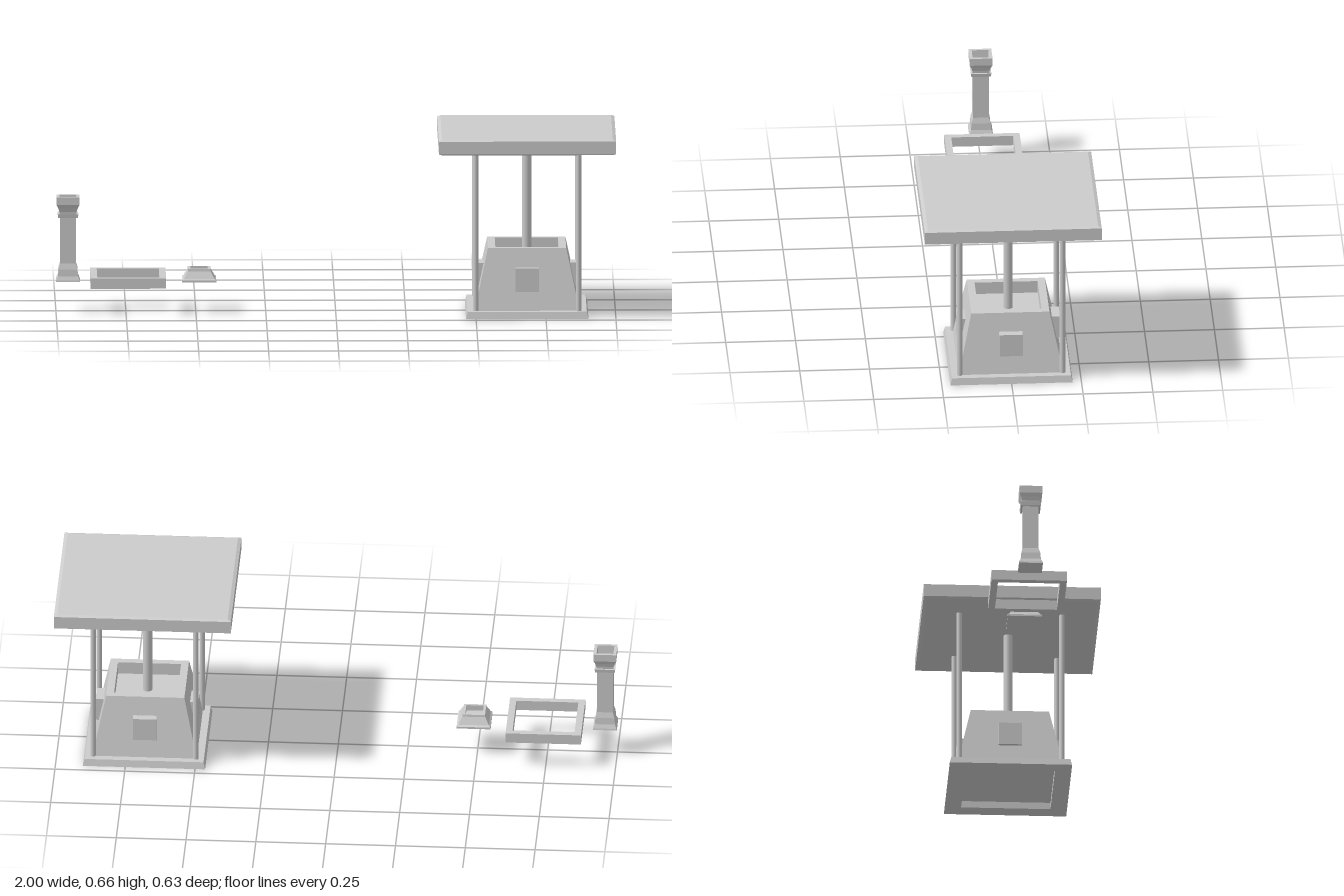
import * as THREE from 'three';

const material = new THREE.MeshStandardMaterial({ color: 0xcccccc, flatShading: true });
const smooth = new THREE.MeshStandardMaterial({ color: 0xcccccc });

function add(parent, name, geometry, mat = material) {
  const mesh = new THREE.Mesh(geometry, mat);
  mesh.name = name;
  parent.add(mesh);
  return mesh;
}

// Square solid swept from a profile of [half width, height] points
function squareTurned(profile) {
  const points = profile.map(([h, y]) => new THREE.Vector2(h * Math.SQRT2, y));
  return new THREE.LatheGeometry(points, 4).rotateY(Math.PI / 4);
}

function post(parent, name, radius, x, z, y0, y1) {
  const mesh = add(parent, name, new THREE.CylinderGeometry(radius, radius, y1 - y0, 16), smooth);
  mesh.position.set(x, (y0 + y1) / 2, z);
}

function makeWell() {
  const well = new THREE.Group();
  well.name = 'coveredWell';
  // Plinth ring
  add(well, 'plinth', squareTurned([
    [0.16, 0], [0.219, 0], [0.213, 0.025], [0.16, 0.025], [0.16, 0],
  ]));
  // Tapered body with a shallow basin
  add(well, 'body', squareTurned([
    [0, 0.025], [0.187, 0.025], [0.14, 0.245], [0.113, 0.245], [0.113, 0.2], [0, 0.2],
  ]));
  // A block on each face
  for (let i = 0; i < 4; i++) {
    const block = new THREE.BoxGeometry(0.084, 0.084, 0.053);
    block.translate(0, 0.135, 0.1575).rotateY(i * Math.PI / 2);
    add(well, 'faceBlock', block);
  }
  // Corner posts and the central pole
  for (const x of [-0.184, 0.184]) {
    for (const z of [-0.184, 0.184]) post(well, 'cornerPost', 0.01, x, z, 0.02, 0.61);
  }
  post(well, 'centrePole', 0.017, 0, 0, 0.195, 0.61);
  // Flat bevelled roof
  add(well, 'roofSlab', squareTurned([
    [0, 0.604], [0.305, 0.604], [0.317, 0.609], [0.317, 0.655], [0.305, 0.66], [0, 0.66],
  ]));
  return well;
}

export function createModel() {
  const model = new THREE.Group();
  model.name = 'wellSet';

  const well = makeWell();
  well.position.x = 0.683;
  model.add(well);

  // Square pillar with flared foot, collar and hollow capital
  add(model, 'pillar', squareTurned([
    [0, 0.11], [0.043, 0.11], [0.042, 0.116], [0.036, 0.13], [0.034, 0.155], [0.028, 0.175],
    [0.028, 0.34], [0.035, 0.34], [0.037, 0.353], [0.03, 0.353], [0.031, 0.362], [0.035, 0.375],
    [0.041, 0.388], [0.041, 0.415], [0.03, 0.415], [0.026, 0.36], [0, 0.36],
  ])).position.x = -0.957;

  // Open square frame
  add(model, 'squareFrame', squareTurned([
    [0.111, 0.099], [0.135, 0.099], [0.135, 0.136], [0.111, 0.136], [0.111, 0.099],
  ])).position.x = -0.742;

  // Low tapered cap with a recess
  add(model, 'cap', squareTurned([
    [0, 0.11], [0.061, 0.11], [0.061, 0.117], [0.055, 0.122], [0.041, 0.148], [0.04, 0.156],
    [0.031, 0.156], [0.031, 0.135], [0, 0.135],
  ])).position.x = -0.488;

  return model;
}
